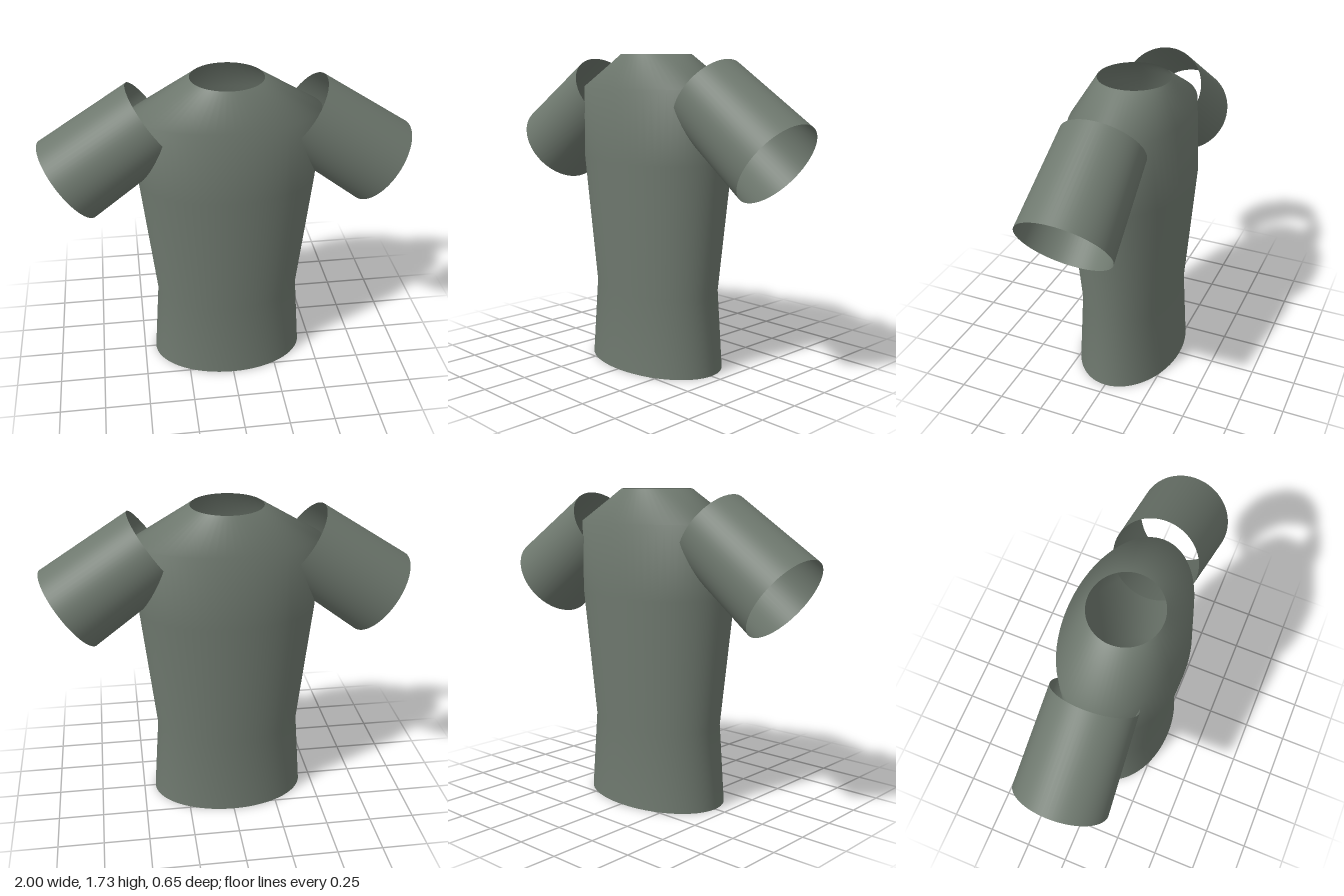
import * as THREE from 'three';
import { mergeVertices } from 'three/addons/utils/BufferGeometryUtils.js';

export function createModel() {
  const group = new THREE.Group();
  group.name = 'shirt';

  const fabric = new THREE.MeshStandardMaterial({ color: 0x6e786e, side: THREE.DoubleSide });
  fabric.name = 'grey green fabric';

  // Torso rings: height, half width, half depth (hem, waist, chest, shoulder, neck)
  const rings = [
    [0, 0.435, 0.295],
    [0.44, 0.404, 0.272],
    [1.16, 0.483, 0.327],
    [1.55, 0.505, 0.302],
    [1.73, 0.195, 0.193],
  ];
  let torso = new THREE.LatheGeometry(rings.map(([y, rx]) => new THREE.Vector2(rx, y)), 64);
  const pos = torso.attributes.position;
  for (let i = 0; i < pos.count; i++) {
    // Flatten each ring into an ellipse
    const [, rx, rz] = rings[i % rings.length];
    pos.setZ(i, pos.getZ(i) * rz / rx);
  }
  torso.deleteAttribute('uv');
  torso.deleteAttribute('normal');
  torso = mergeVertices(torso);
  torso.computeVertexNormals();
  const body = new THREE.Mesh(torso, fabric);
  body.name = 'torso';
  group.add(body);

  // Open, slightly tapered sleeves
  const up = new THREE.Vector3(0, 1, 0);
  for (const side of [1, -1]) {
    const inner = new THREE.Vector3(side * 0.394, 1.518, 0);
    const outer = new THREE.Vector3(side * 0.855, 1.195, 0);
    const axis = outer.clone().sub(inner);
    const sleeve = new THREE.Mesh(
      new THREE.CylinderGeometry(0.25, 0.227, axis.length(), 64, 1, true), fabric);
    sleeve.position.copy(inner).add(outer).multiplyScalar(0.5);
    sleeve.quaternion.setFromUnitVectors(up, axis.normalize());
    sleeve.name = side > 0 ? 'leftSleeve' : 'rightSleeve';
    group.add(sleeve);
  }
  return group;
}
